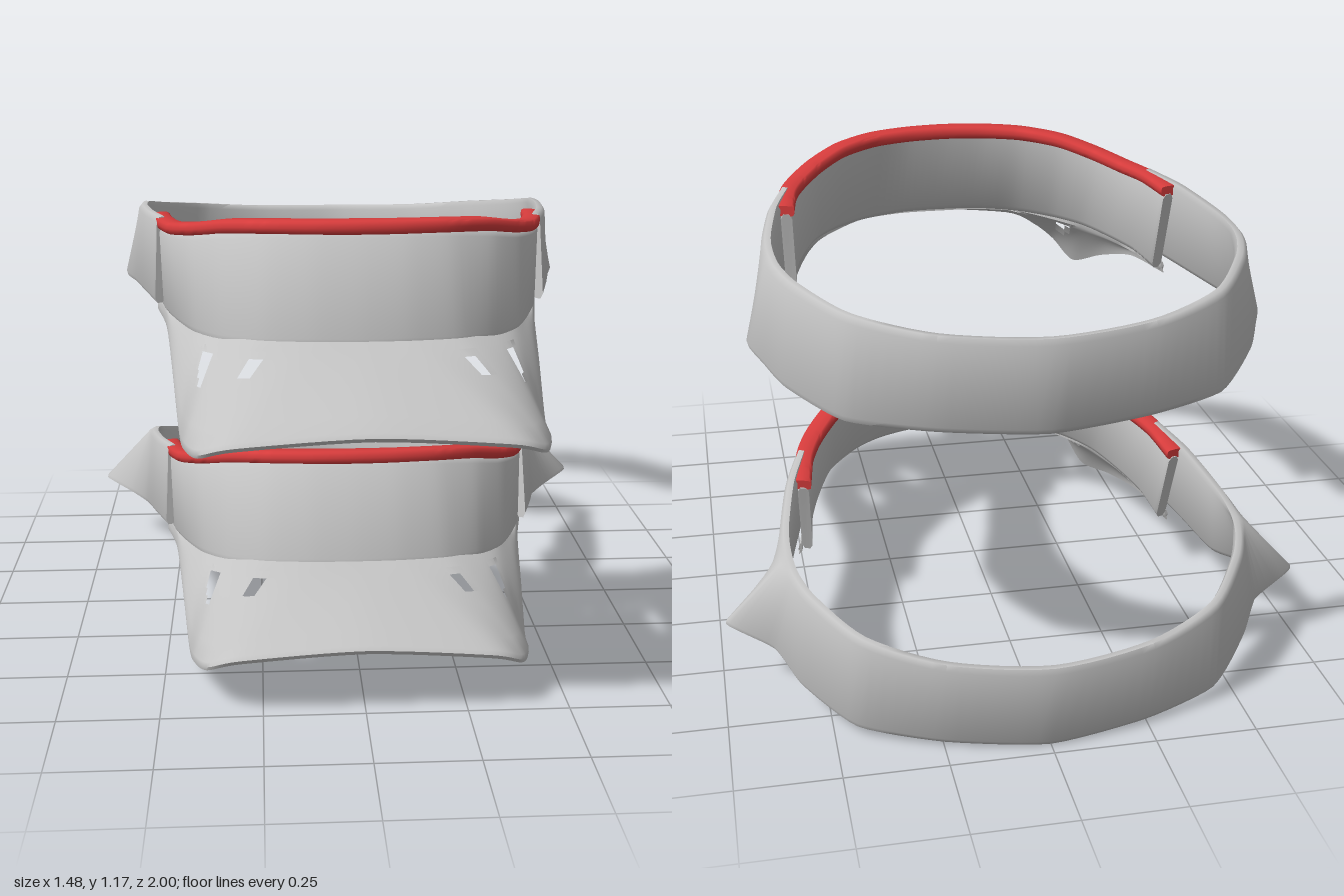
import * as THREE from 'three';
import { toCreasedNormals } from 'three/addons/utils/BufferGeometryUtils.js';

const grey = new THREE.MeshStandardMaterial({ color: 0xc4c4c4, side: THREE.DoubleSide });
const red = new THREE.MeshStandardMaterial({ color: 0xd63c3c });
grey.name = 'greyFabric';
red.name = 'redTrim';

const PER = 6; // samples per control segment

// Symmetric curve from a half list ending on the centre line; s is the side it starts on
function symmetric(half, s, tension = 0.4) {
  const first = half.map(([x, y, z]) => new THREE.Vector3(x * s, y, z));
  const second = half.slice(0, -1).reverse().map(([x, y, z]) => new THREE.Vector3(-x * s, y, z));
  const curve = new THREE.CatmullRomCurve3([...first, ...second], false, 'catmullrom', tension);
  return curve.getPoints((half.length - 1) * 2 * PER);
}

// Move a point horizontally towards the head's axis
function inward(p, d) {
  const dir = new THREE.Vector3(-p.x, 0, -0.25 - p.z).normalize();
  return p.clone().addScaledVector(dir, d);
}

// Closed cross-sections joined into a capped solid; skip(i, j) leaves an opening
function loft(rings, crease, skip = () => false) {
  const n = rings[0].length, idx = [];
  for (let i = 0; i < rings.length - 1; i++) {
    for (let j = 0; j < n; j++) {
      if (skip(i, j)) continue;
      const k = (j + 1) % n, a = i * n, b = a + n;
      idx.push(a + j, b + j, b + k, a + j, b + k, a + k);
    }
  }
  const last = (rings.length - 1) * n;
  for (let j = 1; j < n - 1; j++) {
    idx.push(0, j, j + 1, last, last + j + 1, last + j);
  }
  const geo = new THREE.BufferGeometry().setFromPoints(rings.flat());
  geo.setIndex(idx);
  return toCreasedNormals(geo, crease);
}

// Upright wall with rounded rims between a bottom and a top curve
function wall(bottom, top, thick) {
  return loft(bottom.map((b, i) => {
    const t = top[i], lip = t.clone().lerp(b, 0.06);
    const hem = b.clone().lerp(t, 0.06);
    return [inward(b, thick * 0.25), hem, lip, inward(t, thick * 0.25),
      inward(t, thick * 0.75), inward(lip, thick), inward(hem, thick), inward(b, thick * 0.75)];
  }), 1.1);
}

function crownGeometry() {
  const bottom = [[0.515, 0.865, -0.05], [0.498, 0.87, 0.1], [0.458, 0.87, 0.25], [0.41, 0.87, 0.38],
    [0.34, 0.87, 0.48], [0.24, 0.875, 0.55], [0.12, 0.88, 0.585], [0, 0.88, 0.595]];
  const top = [[0.525, 1.085, -0.1], [0.512, 1.088, 0.04], [0.48, 1.09, 0.15], [0.42, 1.1, 0.27],
    [0.34, 1.12, 0.37], [0.23, 1.135, 0.445], [0.12, 1.14, 0.48], [0, 1.14, 0.49]];
  return wall(symmetric(bottom, -1), symmetric(top, -1), 0.03);
}

function trimGeometry() {
  const path = [[0.512, 1.093, -0.1], [0.493, 1.098, 0.04], [0.46, 1.1, 0.15], [0.4, 1.115, 0.26],
    [0.32, 1.134, 0.35], [0.22, 1.143, 0.42], [0.11, 1.146, 0.455], [0, 1.147, 0.465]];
  // Piping with a squared oval section, slimmer towards the ends
  const round = (v) => Math.sign(v) * Math.sqrt(Math.abs(v));
  return loft(symmetric(path, -1).map((p, i, all) => {
    const middle = Math.sin(i / (all.length - 1) * Math.PI);
    const ring = [];
    for (let k = 0; k < 12; k++) {
      const a = k / 12 * Math.PI * 2;
      const q = inward(p, -(0.024 + 0.01 * middle) * round(Math.cos(a)));
      q.y += (0.014 + 0.004 * middle) * round(Math.sin(a));
      ring.push(q);
    }
    return ring;
  }), 1.0);
}

function brimGeometry() {
  const root = symmetric([[0.515, 0.875, -0.05], [0.49, 0.875, 0.1], [0.45, 0.875, 0.25], [0.4, 0.875, 0.38],
    [0.33, 0.88, 0.47], [0.24, 0.887, 0.55], [0.12, 0.89, 0.585], [0, 0.89, 0.59]], -1);
  const edge = symmetric([[0.525, 0.865, -0.05], [0.49, 0.855, 0.15], [0.465, 0.785, 0.38], [0.44, 0.695, 0.62],
    [0.42, 0.712, 0.8], [0.385, 0.728, 0.92], [0.3, 0.758, 0.975], [0, 0.78, 0.99]], -1);
  const V = [0, 0.12, 0.25, 0.4, 0.55, 0.7, 0.85, 1];
  const rings = root.map((r, i) => {
    const surface = V.map((v) => {
      const p = r.clone().lerp(edge[i], v);
      p.y += 0.035 * v * (1 - v);
      return p;
    });
    const under = surface.map((p) => p.clone().setY(p.y - 0.02));
    const rim = edge[i].clone();
    rim.y -= 0.01;
    rim.z += 0.008;
    return [...under, rim, ...surface.reverse()];
  });
  const mid = (rings.length - 1) / 2, n = rings[0].length;
  // Vent openings either side of the centre
  const skip = (i, j) => {
    const a = Math.abs(i + 0.5 - mid) / PER;
    const row = j < V.length - 1 ? j : n - 2 - j;
    if (j === n - 1 || row < 1 || row > 3) return false;
    const small = row < 3 && a > 1.65 && a < 2.2;
    const large = a > 3.1 && a < (row < 3 ? 3.7 : 3.5);
    return small || large;
  };
  return loft(rings, 0.9, skip);
}

// Head band; the corner points shape the side of its lower edge
function bandGeometry(corner) {
  const bottom = [[0.522, 0.89, 0.1], [0.568, 0.885, -0.1], [0.607, 0.88, -0.28], ...corner,
    [0.57, 0.82, -0.62], [0.45, 0.79, -0.77], [0.25, 0.785, -0.86], [0, 0.78, -0.907]];
  const top = [[0.513, 1.115, 0.06], [0.555, 1.11, -0.1], [0.582, 1.1, -0.28], [0.589, 1.095, -0.37],
    [0.587, 1.09, -0.45], [0.576, 1.08, -0.52],
    [0.54, 1.065, -0.61], [0.435, 1.04, -0.765], [0.25, 1.017, -0.868], [0, 1.01, -0.917]];
  return wall(symmetric(bottom, 1, 0.3), symmetric(top, 1), 0.03);
}

function visor(name, corner, matrix) {
  const group = new THREE.Group();
  group.name = name;
  const parts = [
    ['crown', crownGeometry(), grey],
    ['trim', trimGeometry(), red],
    ['brim', brimGeometry(), grey],
    ['headBand', bandGeometry(corner), grey],
  ];
  for (const [part, geo, mat] of parts) {
    geo.applyMatrix4(matrix);
    const mesh = new THREE.Mesh(geo, mat);
    mesh.name = part;
    group.add(mesh);
  }
  return group;
}

export function createModel() {
  const model = new THREE.Group();
  model.name = 'visorPair';
  // The lower visor is a shorter copy tilted nose up, with its band corners pulled out
  const tilt = new THREE.Matrix4().set(
    1, 0, 0, 0,
    0, 1, 0.098, -0.692,
    0, -0.1, 0.916, -0.061,
    0, 0, 0, 1);
  const softCorner = [[0.63, 0.875, -0.37], [0.645, 0.868, -0.46], [0.615, 0.848, -0.53]];
  const sharpCorner = [[0.66, 0.895, -0.37], [0.745, 0.925, -0.47], [0.63, 0.875, -0.53]];
  model.add(visor('upperVisor', softCorner, new THREE.Matrix4()));
  model.add(visor('lowerVisor', sharpCorner, tilt));
  return model;
}
